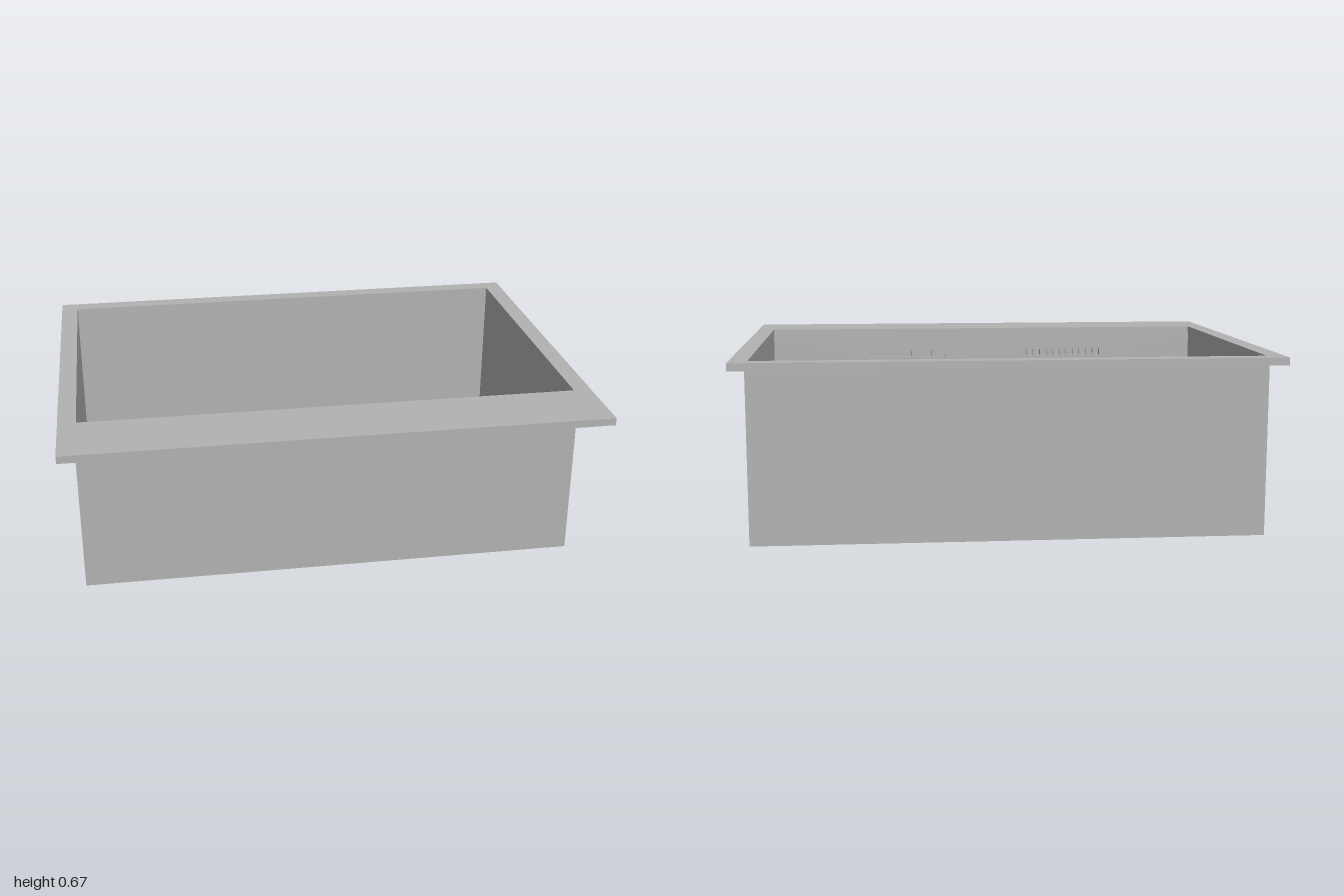
import * as THREE from 'three';
import { toCreasedNormals } from 'three/addons/utils/BufferGeometryUtils.js';

const steel = new THREE.MeshStandardMaterial({ color: 0xb2b2b2, side: THREE.DoubleSide });
steel.name = 'brushed steel';

// Plan outlines lie in x and -z so that extrusions rise along +y
function rect(path, x0, x1, z0, z1, r = 0) {
  const a = -z1, b = -z0;
  if (!r) {
    path.moveTo(x0, a).lineTo(x1, a).lineTo(x1, b).lineTo(x0, b).closePath();
    return path;
  }
  path.moveTo(x0 + r, a).lineTo(x1 - r, a);
  path.absarc(x1 - r, a + r, r, -Math.PI / 2, 0);
  path.absarc(x1 - r, b - r, r, 0, Math.PI / 2);
  path.absarc(x0 + r, b - r, r, Math.PI / 2, Math.PI);
  path.absarc(x0 + r, a + r, r, Math.PI, Math.PI * 1.5);
  return path;
}

function slab(shape, y, height) {
  const g = new THREE.ExtrudeGeometry(shape, { depth: height, bevelEnabled: false, curveSegments: 3 });
  return g.rotateX(-Math.PI / 2).translate(0, y, 0);
}

export function createModel() {
  const model = new THREE.Group();
  model.name = 'sink';
  const add = (name, geometry) => {
    const mesh = new THREE.Mesh(geometry, steel);
    mesh.name = name;
    model.add(mesh);
    return mesh;
  };

  // Flat rim with the bowl opening
  const rim = rect(new THREE.Shape(), -1, 1, -0.767, 0.767);
  rim.holes.push(rect(new THREE.Path(), -0.933, 0.933, -0.7, 0.5, 0.008));
  add('rim', slab(rim, 0.642, 0.028));

  // Outer walls, leaving a cavity behind the overflow panel
  const walls = rect(new THREE.Shape(), -0.945, 0.945, -0.705, 0.525);
  walls.holes.push(rect(new THREE.Path(), -0.933, 0.933, -0.7, 0.52));
  add('bowlWalls', slab(walls, 0, 0.642));
  add('underside', slab(rect(new THREE.Shape(), -0.945, 0.945, -0.705, 0.525), 0, 0.004));

  // Front inner panel with two rows of overflow slits
  const panel = new THREE.Shape();
  panel.moveTo(-0.933, 0.004).lineTo(0.933, 0.004).lineTo(0.933, 0.642).lineTo(-0.933, 0.642).closePath();
  const slits = 12, pitch = 0.03, w = 0.016;
  for (const side of [-1, 1]) {
    for (let i = 0; i < slits; i++) {
      const x = side * 0.35 + (i - (slits - 1) / 2) * pitch;
      const hole = new THREE.Path();
      hole.moveTo(x - w / 2, 0.545).lineTo(x - w / 2, 0.573).lineTo(x + w / 2, 0.573).lineTo(x + w / 2, 0.545).closePath();
      panel.holes.push(hole);
    }
  }
  const panelGeometry = new THREE.ExtrudeGeometry(panel, { depth: 0.02, bevelEnabled: false });
  add('overflowPanel', panelGeometry.translate(0, 0, 0.5));

  // Floor falling gently to the drain
  const drainZ = -0.1, drainR = 0.135, sides = 20;
  const floor = rect(new THREE.Shape(), -0.933, 0.933, -0.7, 0.5);
  floor.holes.push(new THREE.Path().absarc(0, -drainZ, drainR, 0, Math.PI * 2, true));
  const floorGeometry = new THREE.ShapeGeometry(floor, sides).rotateX(-Math.PI / 2);
  const p = floorGeometry.attributes.position;
  for (let i = 0; i < p.count; i++) {
    const d = Math.hypot(p.getX(i), p.getZ(i) - drainZ);
    p.setY(i, d < drainR + 0.01 ? 0.038 : 0.05);
  }
  add('floor', toCreasedNormals(floorGeometry, 0.01));

  // Recessed drain dish and outlet
  const profile = [[0, 0.006], [0.05, 0.006], [0.052, 0.02], [0.058, 0.023], [0.13, 0.025], [drainR, 0.038]]
    .map(([x, y]) => new THREE.Vector2(x, y));
  const drain = add('drain', toCreasedNormals(new THREE.LatheGeometry(profile, sides), 0.5));
  drain.position.z = drainZ;

  return model;
}
